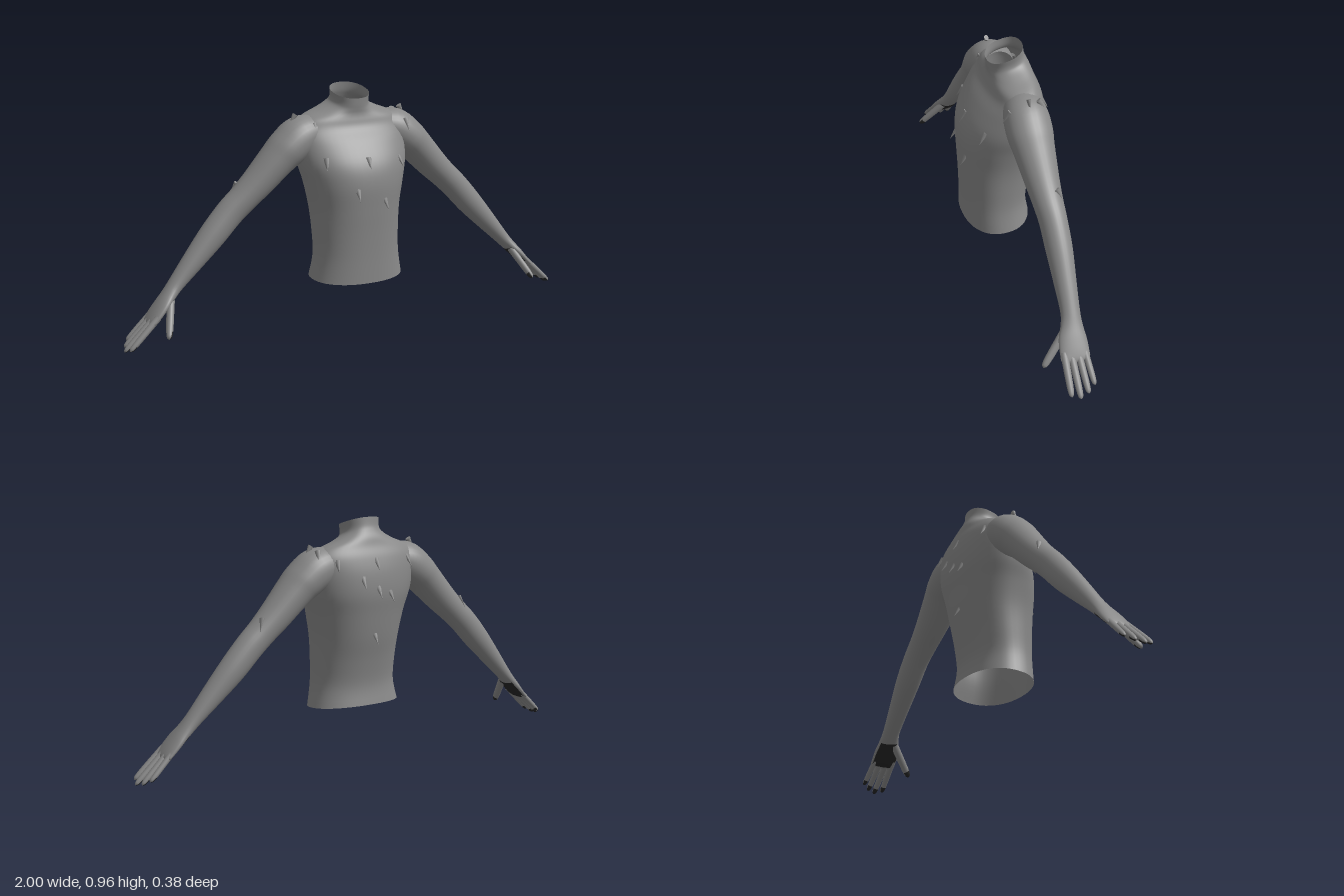
import * as THREE from 'three';

const skin = new THREE.MeshStandardMaterial({ color: 0x888888, side: THREE.DoubleSide });
skin.name = 'grey skin';
const pad = new THREE.MeshStandardMaterial({ color: 0x262626, side: THREE.DoubleSide });
pad.name = 'dark grip pad';

// Smoothly sample a list of stations (rows of numbers) at u in 0..1
function sample(rows, u) {
  const f = Math.min(u, 1) * (rows.length - 1);
  const i = Math.min(Math.floor(f), rows.length - 2), t = f - i;
  const row = (k) => rows[Math.max(0, Math.min(rows.length - 1, k))];
  return rows[0].map((_, c) => {
    const [a, b, d, e] = [row(i - 1)[c], row(i)[c], row(i + 1)[c], row(i + 2)[c]];
    return b + 0.5 * t * (d - a + t * (2 * a - 5 * b + 4 * d - e + t * (3 * (b - d) + e - a)));
  });
}

// Join closed rings of points into one smooth surface; faces picked by isPad form group 1
function loft(rings, isPad = () => false) {
  const n = rings[0].length, plain = [], dark = [];
  for (let i = 0; i < rings.length - 1; i++) {
    for (let j = 0; j < n; j++) {
      const a = i * n + j, b = i * n + (j + 1) % n;
      const list = isPad((i + 0.5) / (rings.length - 1), ((j + 0.5) / n) * Math.PI * 2) ? dark : plain;
      list.push(a, a + n, b, b, a + n, b + n);
    }
  }
  const g = new THREE.BufferGeometry().setFromPoints(rings.flat());
  g.setIndex([...plain, ...dark]);
  g.addGroup(0, plain.length, 0);
  g.addGroup(plain.length, dark.length, 1);
  g.computeVertexNormals();
  return g;
}

// Limb through stations [x, y, z, half thickness, half width along z]
function limb(rows, steps, sides, isPad) {
  const centre = (u) => new THREE.Vector3(...sample(rows, u).slice(0, 3));
  const rings = [];
  for (let i = 0; i <= steps; i++) {
    const u = i / steps, s = sample(rows, u), c = centre(u);
    const T = centre(Math.min(1, u + 0.01)).sub(centre(Math.max(0, u - 0.01))).normalize();
    const side = new THREE.Vector3(0, 0, 1).addScaledVector(T, -T.z).normalize();
    const normal = T.clone().cross(side);
    const rn = Math.max(s[3], 0.0005), rs = Math.max(s[4], 0.0005);
    rings.push(Array.from({ length: sides }, (_, j) => {
      const a = (j / sides) * Math.PI * 2;
      return c.clone().addScaledVector(normal, rn * Math.cos(a)).addScaledVector(side, rs * Math.sin(a));
    }));
  }
  return loft(rings, isPad);
}

// Torso stations: height, tilt (front lower), half width, front z, back z
const TORSO = [
  [0.187, 0.012, 0.2, 0.16, -0.11], [0.28, 0, 0.183, 0.16, -0.1], [0.38, 0, 0.183, 0.163, -0.115],
  [0.48, 0, 0.19, 0.168, -0.138], [0.58, 0, 0.21, 0.17, -0.155], [0.66, 0, 0.232, 0.152, -0.167],
  [0.74, 0, 0.242, 0.105, -0.163], [0.8, 0.005, 0.24, 0.063, -0.148], [0.84, 0.01, 0.208, 0.05, -0.13],
  [0.868, 0.015, 0.135, 0.045, -0.12], [0.89, 0.02, 0.09, 0.046, -0.108],
  [0.91, 0.022, 0.077, 0.048, -0.1], [0.94, 0.025, 0.08, 0.05, -0.095],
];
const POWER = 2.25;

function torsoGeometry() {
  const rings = [], steps = 60, sides = 48;
  const bend = (v) => Math.sign(v) * Math.abs(v) ** (2 / POWER);
  for (let i = 0; i <= steps; i++) {
    const [y, tilt, w, f, b] = sample(TORSO, i / steps);
    rings.push(Array.from({ length: sides }, (_, j) => {
      const a = (j / sides) * Math.PI * 2;
      return new THREE.Vector3(w * bend(Math.cos(a)), y - tilt * Math.sin(a),
        (f + b) / 2 + ((f - b) / 2) * bend(Math.sin(a)));
    }));
  }
  return loft(rings);
}

// Depth of the torso surface at x, y on the front (1) or back (-1)
function torsoZ(x, y, face) {
  let u = 0;
  while (u < 1 && sample(TORSO, u)[0] < y) u += 0.005;
  const [, , w, f, b] = sample(TORSO, u);
  const k = Math.max(0, 1 - Math.abs(x / w) ** POWER) ** (1 / POWER);
  return (f + b) / 2 + face * ((f - b) / 2) * k;
}

const ARM = [
  [0.13, 0.785, -0.042, 0.062, 0.068], [0.21, 0.768, -0.039, 0.083, 0.088],
  [0.275, 0.725, -0.036, 0.079, 0.091], [0.325, 0.68, -0.036, 0.072, 0.082],
  [0.405, 0.6, -0.038, 0.064, 0.069], [0.47, 0.54, -0.04, 0.058, 0.06],
  [0.53, 0.485, -0.042, 0.057, 0.055], [0.605, 0.405, -0.04, 0.054, 0.052],
  [0.69, 0.315, -0.034, 0.043, 0.044], [0.765, 0.235, -0.028, 0.031, 0.038],
  [0.8, 0.197, -0.022, 0.026, 0.043], [0.835, 0.16, -0.014, 0.022, 0.055],
  [0.87, 0.122, -0.01, 0.017, 0.058], [0.892, 0.1, -0.009, 0.01, 0.052], [0.898, 0.094, -0.009, 0, 0],
];

// Fingers: root point, tip point, radius
const DIGITS = [
  ['indexFinger', [0.865, 0.127, 0.031], [0.987, 0.013, 0.042], 0.0135],
  ['middleFinger', [0.867, 0.125, 0.005], [0.998, 0.003, 0.008], 0.0135],
  ['ringFinger', [0.865, 0.127, -0.023], [0.987, 0.01, -0.027], 0.013],
  ['littleFinger', [0.862, 0.13, -0.049], [0.967, 0.026, -0.058], 0.012],
  ['thumb', [0.803, 0.178, 0.005], [0.852, 0.06, 0.108], 0.016],
];

function digitRows(root, tip, r) {
  return [[0, 1.1], [0.3, 1.05], [0.6, 1], [0.82, 0.9], [0.95, 0.65], [1, 0]].map(([t, k]) =>
    [...root.map((v, c) => v + (tip[c] - v) * t), r * k * 0.88, r * k]);
}

// Tufts on the torso: x, y, face
const BODY_TUFTS = [
  [-0.185, 0.81, 1], [-0.17, 0.68, 1], [0, 0.675, 1], [-0.06, 0.555, 1], [0.065, 0.51, 1],
  [0.16, 0.665, 1], [0, 0.79, -1], [0, 0.68, -1], [0, 0.49, -1], [-0.06, 0.66, -1],
  [0.07, 0.72, -1], [-0.17, 0.79, -1], [0.17, 0.79, -1],
];
// Tufts on the arms: point and outward direction
const ARM_TUFTS = [
  [0.235, 0.8, 0.04, 0, 1], [0.25, 0.845, -0.04, 1, 0], [0.24, 0.83, -0.09, 0.5, -1],
  [0.39, 0.67, -0.08, 0.6, -1], [0.49, 0.585, -0.075, 0.7, -0.7],
  [-0.25, 0.845, -0.03, -1, 0], [-0.3, 0.75, -0.1, -0.5, -1],
  [-0.36, 0.7, -0.08, -0.6, -1], [-0.49, 0.585, -0.075, -0.7, -0.7],
];

export function createModel() {
  const model = new THREE.Group();
  model.name = 'bareTorso';
  const add = (parent, name, geometry, material = skin) => {
    const mesh = new THREE.Mesh(geometry, material);
    mesh.name = name;
    parent.add(mesh);
    return mesh;
  };

  add(model, 'torsoAndNeck', torsoGeometry());

  // Mirrored arms with hands; the palm and the undersides of the fingertips are dark pads
  for (const s of [1, -1]) {
    const arm = new THREE.Group();
    arm.name = s > 0 ? 'leftArm' : 'rightArm';
    model.add(arm);
    const mirror = (rows) => rows.map(([x, ...rest]) => [x * s, ...rest]);
    const palm = (u, a) => u > 0.73 && u < 0.91 && s * Math.cos(a) > 0.4;
    const fingertip = (u, a) => u > 0.62 && s * Math.cos(a) > 0.1;
    add(arm, 'armAndPalm', limb(mirror(ARM), 70, 28, palm), [skin, pad]);
    for (const [name, root, tip, r] of DIGITS) {
      add(arm, name, limb(mirror(digitRows(root, tip, r)), 20, 14, fingertip), [skin, pad]);
    }
  }

  // Small pointed tufts hanging down and away from the skin
  const tuftShape = new THREE.ConeGeometry(0.013, 0.055, 8).translate(0, 0.012, 0).scale(1, 1, 0.7);
  const up = new THREE.Vector3(0, 1, 0);
  const tuft = (x, y, z, ox, oz) => {
    const mesh = add(model, 'tuft', tuftShape);
    mesh.position.set(x, y, z);
    mesh.quaternion.setFromUnitVectors(up, new THREE.Vector3(ox * 0.5, -0.8, oz * 0.5).normalize());
  };
  for (const [x, y, face] of BODY_TUFTS) tuft(x, y, torsoZ(x, y, face), x * 2, face);
  for (const t of ARM_TUFTS) tuft(...t);

  return model;
}
